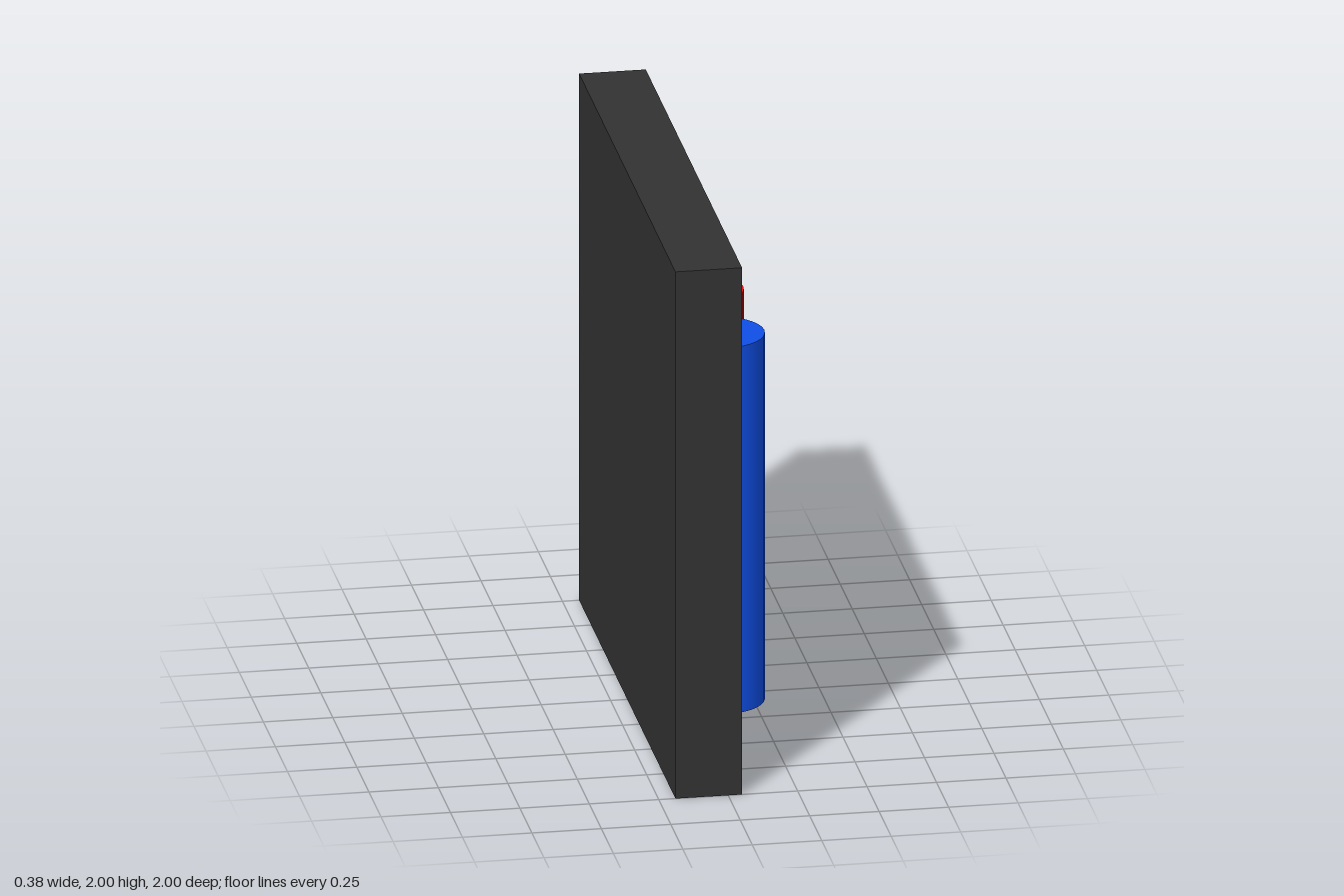
import * as THREE from 'three';

const paint = (name, color) => {
  const m = new THREE.MeshStandardMaterial({ color });
  m.name = name;
  return m;
};

export function createModel() {
  const group = new THREE.Group();
  const charcoal = paint('charcoal', 0x323232);
  const blue = paint('blue', 0x0f4ee6);
  const red = paint('red', 0xe40e0e);
  const yellow = paint('yellow', 0xd3e212);
  const green = paint('green', 0x3cd810);

  const add = (name, geometry, material, x, y, z) => {
    const mesh = new THREE.Mesh(geometry, material);
    mesh.name = name;
    mesh.position.set(x, y, z);
    group.add(mesh);
  };

  // upright square panel
  add('panel', new THREE.BoxGeometry(0.24, 2, 2), charcoal, -0.07, 1, 0);

  // three tall rods half sunk into the panel face
  const rod = new THREE.CylinderGeometry(0.156, 0.156, 1.39, 32);
  [['blueRod', blue, 0.653], ['redRod', red, 0.216], ['yellowRod', yellow, -0.207]]
    .forEach(([name, material, z]) => add(name, rod, material, 0.034, 0.93, z));

  // column of three round buttons
  const button = new THREE.SphereGeometry(0.141, 32, 24);
  [0.395, 0.96, 1.51].forEach((y, i) => add(`button${i + 1}`, button, green, 0.022, y, -0.718));

  return group;
}
